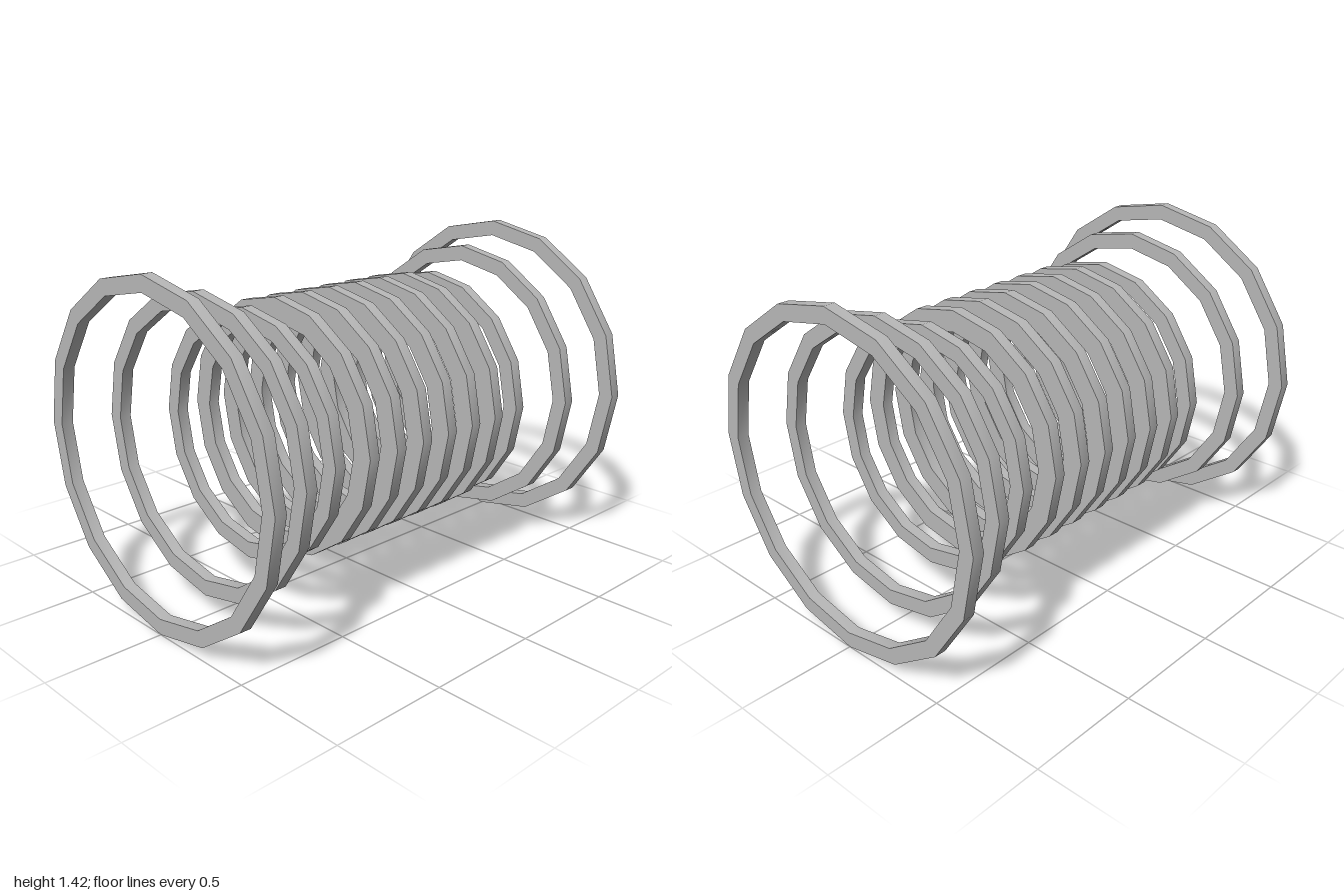
import * as THREE from 'three';
import { toCreasedNormals } from 'three/addons/utils/BufferGeometryUtils.js';

const SIDES = 16;
const HALF_DEPTH = 0.025;
const AXIS_HEIGHT = 0.709;

// Square-section ring around the z axis, smooth around its rim, sharp at its corners
function ringGeometry(outer, inner) {
  const h = HALF_DEPTH;
  const profile = [[outer, -h], [outer, h], [inner, h], [inner, -h], [outer, -h]]
    .map(([x, y]) => new THREE.Vector2(x, y));
  const geometry = new THREE.LatheGeometry(profile, SIDES);
  geometry.rotateX(Math.PI / 2);
  return toCreasedNormals(geometry, Math.PI / 6);
}

export function createModel() {
  const group = new THREE.Group();
  group.name = 'ringSpool';
  const grey = new THREE.MeshStandardMaterial({ color: 0xb8b8b8 });
  grey.name = 'grey';

  // Each ring is mirrored front to back: name, outer radius, inner radius, z positions
  const rings = [
    ['endRing', 0.709, 0.642, [0.975]],
    ['flareRing', 0.617, 0.55, [0.755]],
    ['neckRing', 0.523, 0.455, [0.53]],
    ['coreRing', 0.539, 0.45, [0.368, 0.221, 0.074]],
  ];
  for (const [name, outer, inner, positions] of rings) {
    const geometry = ringGeometry(outer, inner);
    for (const z of positions) {
      for (const side of [1, -1]) {
        const ring = new THREE.Mesh(geometry, grey);
        ring.name = name;
        ring.position.set(0, AXIS_HEIGHT, side * z);
        group.add(ring);
      }
    }
  }
  return group;
}
